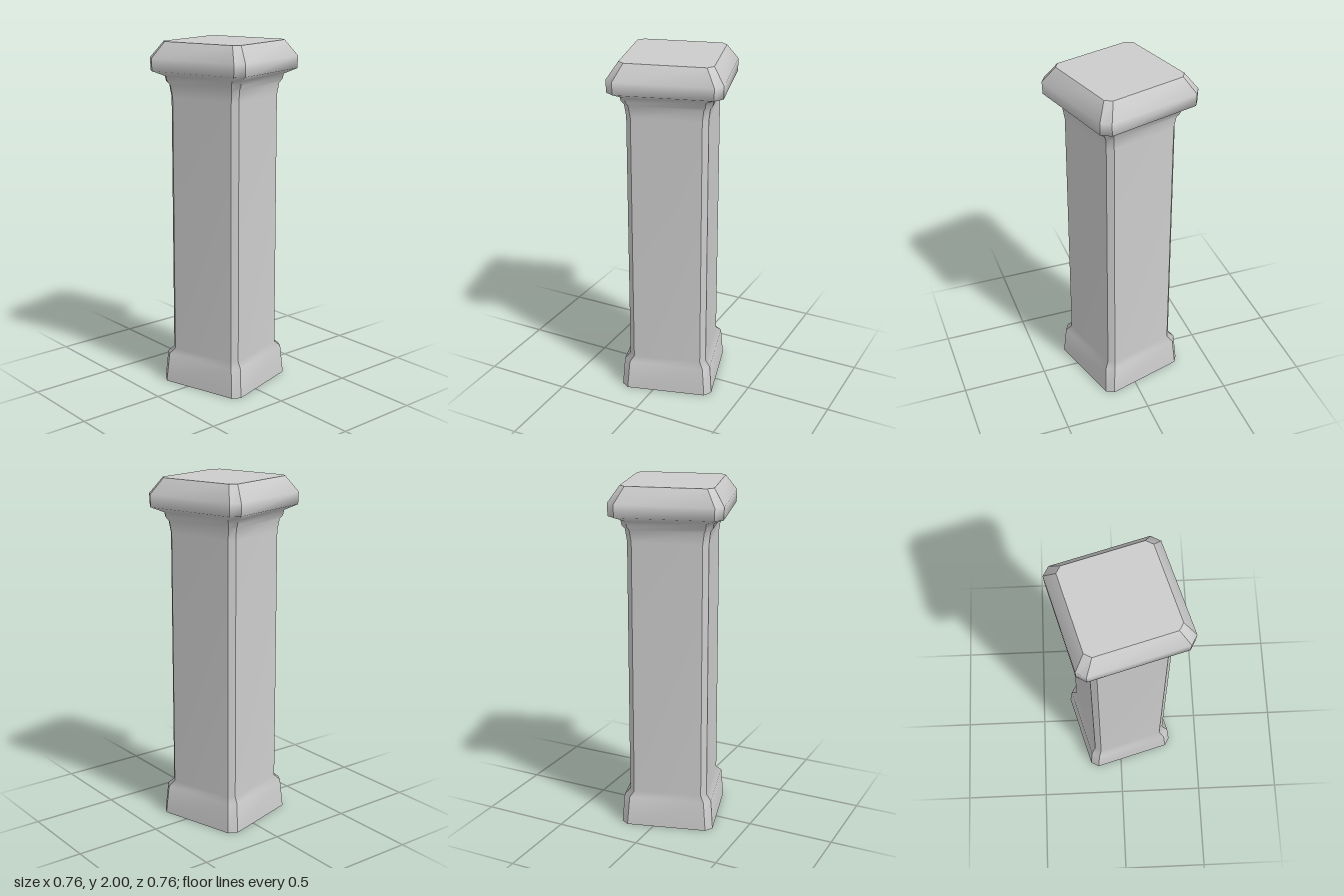
import * as THREE from 'three';

// Profile from bottom to top: [height, half width, corner chamfer]
const PROFILE = [
  [0, 0.27, 0.038], [0.17, 0.257, 0.038], [0.2, 0.228, 0.03],
  [1.69, 0.226, 0.03], [1.76, 0.235, 0.03], [1.78, 0.25, 0.035],
  [1.81, 0.256, 0.037], [1.84, 0.314, 0.044], [1.91, 0.316, 0.044], [2, 0.256, 0.033],
];

// Eight corners of a chamfered square, counter-clockwise seen from above
function ring([y, h, c]) {
  const pts = [];
  for (let i = 0; i < 4; i++) {
    const a = i * Math.PI / 2;
    for (const t of [-(h - c), h - c]) {
      pts.push([t * Math.cos(a) + h * Math.sin(a), y, h * Math.cos(a) - t * Math.sin(a)]);
    }
  }
  return pts;
}

function geometry(positions, index) {
  const g = new THREE.BufferGeometry();
  g.setAttribute('position', new THREE.Float32BufferAttribute(positions.flat(), 3));
  g.setIndex(index);
  g.computeVertexNormals();
  return g;
}

export function createModel() {
  const stone = new THREE.MeshStandardMaterial({ color: 0xcccccc });
  stone.name = 'stone grey';
  const model = new THREE.Group();
  model.name = 'pillar';
  const rings = PROFILE.map(ring);
  const add = (name, geo) => {
    const mesh = new THREE.Mesh(geo, stone);
    mesh.name = name;
    model.add(mesh);
  };

  // Sides and chamfers: smooth along the height, sharp between neighbours
  for (let s = 0; s < 8; s++) {
    const pos = [], idx = [];
    rings.forEach((r, k) => {
      pos.push(r[s], r[(s + 1) % 8]);
      if (k) {
        const a = 2 * k - 2;
        idx.push(a, a + 1, a + 3, a, a + 3, a + 2);
      }
    });
    add(s % 2 ? 'cornerChamfer' : 'side', geometry(pos, idx));
  }

  // Flat top and underside
  const top = [], bottom = [];
  for (let i = 1; i < 7; i++) {
    top.push(0, i, i + 1);
    bottom.push(0, i + 1, i);
  }
  add('topFace', geometry(rings[rings.length - 1], top));
  add('underside', geometry(rings[0], bottom));

  model.rotation.y = 0.276;
  return model;
}
